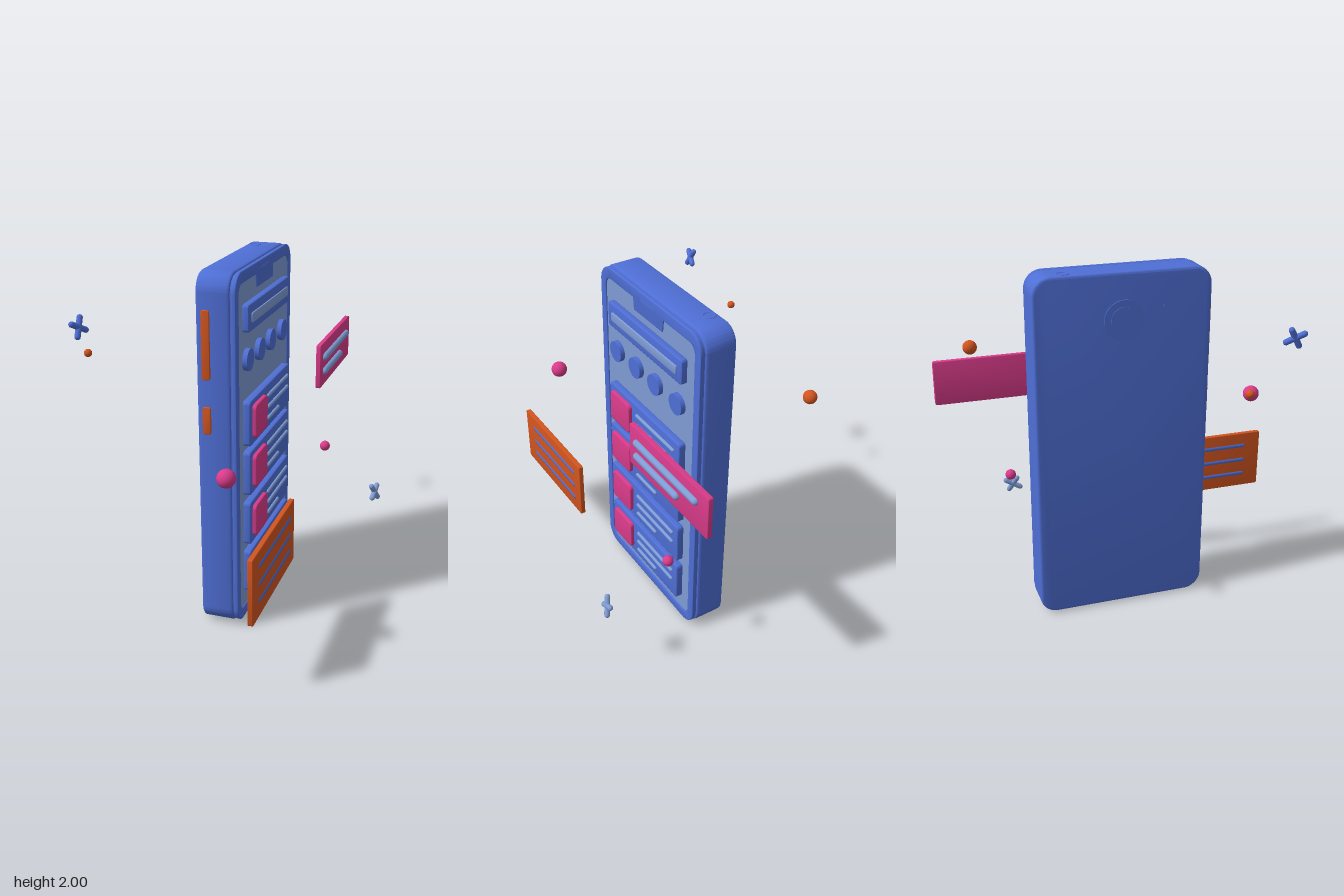
import * as THREE from 'three';
import { toCreasedNormals } from 'three/addons/utils/BufferGeometryUtils.js';

const TURN = 0.343; // everything flat shares the same turn about y
const mat = (color) => new THREE.MeshStandardMaterial({ color });
const BLUE = mat(0x4f6fd6);
const PALE = mat(0x7f9cd4);
const PINK = mat(0xd93b8a);
const ORANGE = mat(0xd2551f);

function add(parent, name, geometry, material, x = 0, y = 0, z = 0) {
  const mesh = new THREE.Mesh(geometry, material);
  mesh.name = name;
  mesh.position.set(x, y, z);
  parent.add(mesh);
  return mesh;
}

// Rounded rectangle centred on the origin
function roundedRect(w, h, r) {
  const s = new THREE.Shape();
  const a = w / 2, b = h / 2, q = Math.PI / 2;
  s.moveTo(-a + r, -b);
  s.lineTo(a - r, -b);
  s.absarc(a - r, -b + r, r, -q, 0, false);
  s.absarc(a - r, b - r, r, 0, q, false);
  s.absarc(-a + r, b - r, r, q, 2 * q, false);
  s.absarc(-a + r, -b + r, r, 2 * q, 3 * q, false);
  return s;
}

// Extrusion from z0 to z1 with a soft edge that stays inside the outline
function extrude(shape, z0, z1, bevel) {
  const g = new THREE.ExtrudeGeometry(shape, {
    depth: z1 - z0 - 2 * bevel, bevelEnabled: bevel > 0, bevelThickness: bevel,
    bevelSize: bevel, bevelOffset: -bevel, bevelSegments: 3, curveSegments: 10,
  });
  g.translate(0, 0, z0 + bevel);
  return toCreasedNormals(g, 0.6);
}
const slab = (w, h, r, z0, z1, bevel = 0.005) => extrude(roundedRect(w, h, r), z0, z1, bevel);

// Horizontal round-ended bar from x0 to x1
function bar(parent, name, x0, x1, y, z, r, material) {
  const g = new THREE.CapsuleGeometry(r, x1 - x0 - 2 * r, 6, 12);
  g.rotateZ(Math.PI / 2);
  return add(parent, name, g, material, (x0 + x1) / 2, y, z);
}

function disc(parent, name, r, depth, material, x, y, z) {
  const g = new THREE.CylinderGeometry(r, r, depth, 32);
  g.rotateX(Math.PI / 2);
  return add(parent, name, g, material, x, y, z);
}

function createPhone() {
  const phone = new THREE.Group();
  phone.name = 'phone';
  phone.position.set(-0.04, 1.003, -0.065);
  phone.rotation.y = TURN;

  // Case, groove and front frame
  add(phone, 'case', slab(0.99, 1.99, 0.1, -0.105, 0.076, 0.015), BLUE);
  add(phone, 'groove', slab(0.965, 1.965, 0.09, 0.07, 0.092, 0), BLUE);
  const frame = roundedRect(0.98, 1.985, 0.1);
  const opening = new THREE.Path();
  const a = 0.438, b = 0.93, r = 0.055, q = Math.PI / 2;
  opening.moveTo(-a + r, -b);
  opening.absarc(a - r, -b + r, r, -q, 0, false);
  opening.absarc(a - r, b - r, r, 0, q, false);
  opening.lineTo(0.148, b);
  opening.lineTo(0.14, b - 0.07);
  opening.lineTo(-0.14, b - 0.07);
  opening.lineTo(-0.148, b);
  opening.absarc(-a + r, b - r, r, q, 2 * q, false);
  opening.absarc(-a + r, -b + r, r, 2 * q, 3 * q, false);
  frame.holes.push(opening);
  add(phone, 'frontFrame', extrude(frame, 0.084, 0.107, 0.004), BLUE);
  add(phone, 'screen', slab(0.9, 1.88, 0.06, 0.085, 0.1, 0), PALE);
  add(phone, 'earpiece', slab(0.14, 0.02, 0.0099, 0.1, 0.109, 0.001), BLUE, 0, 0.947);

  // Search field and round icons
  add(phone, 'searchField', slab(0.735, 0.145, 0.015, 0.098, 0.135), BLUE, 0, 0.745);
  add(phone, 'searchSlot', slab(0.65, 0.052, 0.01, 0.12, 0.143, 0.003), PALE, 0, 0.742);
  for (const x of [-0.315, -0.112, 0.085, 0.3]) disc(phone, 'icon', 0.06, 0.03, BLUE, x, 0.517, 0.112);

  // List entries with a picture tile and text bars
  for (const y of [1.175, 0.888, 0.59, 0.293]) {
    const entry = new THREE.Group();
    entry.name = 'listEntry';
    entry.position.y = y - 1.003;
    add(entry, 'entryPanel', slab(0.735, 0.253, 0.018, 0.098, 0.14), BLUE);
    add(entry, 'pictureTile', slab(0.208, 0.188, 0.025, 0.13, 0.162), PINK, -0.224, 0.002);
    bar(entry, 'textBar', -0.07, 0.325, 0.065, 0.143, 0.011, PALE);
    bar(entry, 'textBar', -0.07, 0.325, -0.002, 0.143, 0.011, PALE);
    bar(entry, 'textBar', -0.07, 0.147, -0.068, 0.143, 0.011, PALE);
    phone.add(entry);
  }

  // Side buttons
  for (const [y, h] of [[1.63, 0.365], [1.225, 0.15]]) {
    const button = add(phone, 'sideButton', slab(0.045, h, 0.012, 0, 0.018, 0.003), ORANGE, -0.487, y - 1.003, -0.052);
    button.rotation.y = -Math.PI / 2;
  }

  // Rear camera and flash
  disc(phone, 'rearCamera', 0.112, 0.012, BLUE, 0, 0.735, -0.105);
  disc(phone, 'cameraLens', 0.075, 0.012, BLUE, 0, 0.735, -0.109);
  disc(phone, 'flash', 0.012, 0.008, BLUE, -0.23, 0.79, -0.105);

  // Audio socket on top, charging port and speaker holes below
  const socket = add(phone, 'audioSocket', new THREE.TorusGeometry(0.031, 0.005, 8, 28), BLUE, 0.319, 0.994, -0.055);
  socket.rotation.x = Math.PI / 2;
  const port = add(phone, 'chargingPort', slab(0.13, 0.04, 0.019, 0, 0.01, 0.002), BLUE, 0, -0.993, -0.015);
  port.rotation.x = Math.PI / 2;
  for (const s of [-1, 1]) for (let i = 0; i < 3; i++) {
    add(phone, 'speakerHole', new THREE.CylinderGeometry(0.01, 0.01, 0.006, 14), BLUE, s * (0.13 + i * 0.04), -0.995, -0.015);
  }
  return phone;
}

function floatingCard(name, x, y, z, w, h, material) {
  const card = new THREE.Group();
  card.name = name;
  card.position.set(x, y, z);
  card.rotation.y = TURN;
  add(card, name + 'Panel', slab(w, h, 0.012, -0.014, 0.014, 0.004), material);
  return card;
}

// Small cross of two round-ended sticks
function cross(x, y, z, tilt, turn, material) {
  const group = new THREE.Group();
  group.name = 'crossOrnament';
  group.position.set(x, y, z);
  group.rotation.set(-0.22, 0.1, turn);
  for (const s of [-1, 1]) {
    const stick = add(group, 'crossStick', new THREE.CapsuleGeometry(0.016, 0.1, 6, 12), material);
    stick.rotation.z = s * tilt;
  }
  return group;
}

export function createModel() {
  const model = new THREE.Group();
  model.name = 'phoneScene';
  model.add(createPhone());

  // Floating message cards
  const pink = floatingCard('pinkCard', 0.643, 1.332, 0.063, 0.725, 0.255, PINK);
  bar(pink, 'textBar', -0.307, 0.277, 0.043, 0.017, 0.021, PALE);
  bar(pink, 'textBar', -0.307, 0.112, -0.042, 0.017, 0.021, PALE);
  const orange = floatingCard('orangeCard', -0.582, 0.592, 0.52, 0.722, 0.365, ORANGE);
  for (const y of [0.098, 0, -0.095]) bar(orange, 'textBar', -0.27, 0.3, y, 0, 0.019, BLUE);
  model.add(pink, orange);

  // Floating balls
  for (const [x, y, z, r, m] of [
    [0.663, 1.735, -0.625, 0.035, ORANGE], [-0.702, 1.51, -0.625, 0.022, ORANGE],
    [-0.832, 1.108, 0.43, 0.048, PINK], [0.595, 0.722, 0.053, 0.031, PINK],
  ]) add(model, 'ball', new THREE.SphereGeometry(r, 28, 18), m, x, y, z);

  model.add(cross(-0.933, 1.735, -0.424, Math.PI / 4, 0.33, BLUE));
  model.add(cross(0.635, 0.49, 0.4, Math.PI / 4, -0.22, PALE));
  return model;
}
